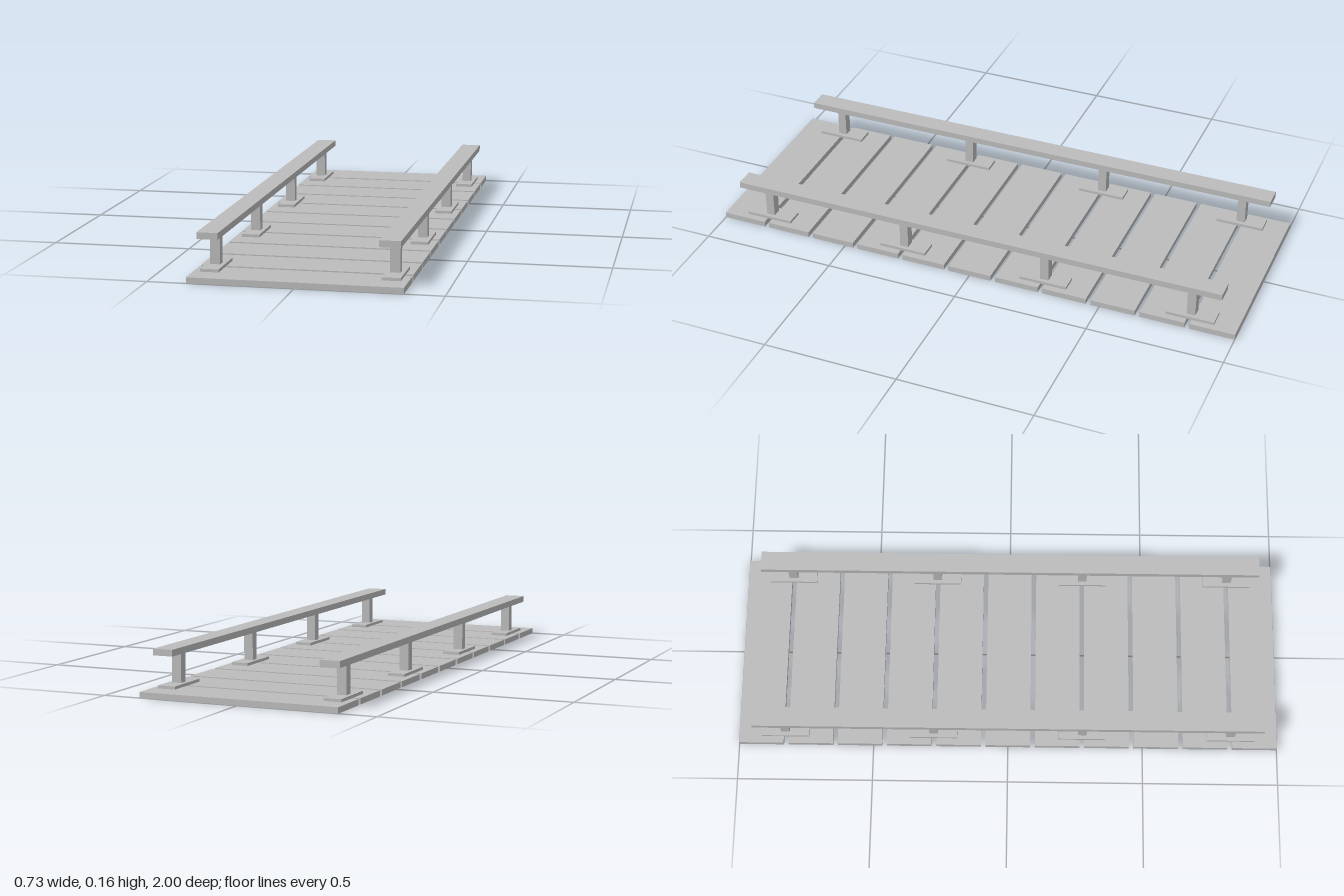
import * as THREE from 'three';

export function createModel() {
  const model = new THREE.Group();
  model.name = 'plankBridge';
  const wood = new THREE.MeshStandardMaterial({ color: 0xbcbcbc });
  wood.name = 'grey wood';

  // Box given by its x centre, y range, z centre, width and depth
  function addBox(parent, name, x, y0, y1, z, width, depth) {
    const mesh = new THREE.Mesh(new THREE.BoxGeometry(width, y1 - y0, depth), wood);
    mesh.position.set(x, (y0 + y1) / 2, z);
    mesh.name = name;
    parent.add(mesh);
  }

  // Deck of eleven separate planks
  const deck = new THREE.Group();
  deck.name = 'deck';
  const plankCount = 11, plankDepth = 0.166;
  const pitch = (2 - plankDepth) / (plankCount - 1);
  for (let i = 0; i < plankCount; i++) {
    addBox(deck, 'plank', 0, 0, 0.021, (i - (plankCount - 1) / 2) * pitch, 0.73, plankDepth);
  }
  model.add(deck);

  // Mirrored railings: base plates, posts and a top rail
  for (const side of [-1, 1]) {
    const railing = new THREE.Group();
    railing.name = side > 0 ? 'leftRailing' : 'rightRailing';
    const x = side * 0.308;
    for (const z of [-0.827, -0.276, 0.276, 0.827]) {
      addBox(railing, 'basePlate', x, 0.0215, 0.032, z, 0.064, 0.178);
      addBox(railing, 'post', x, 0.032, 0.138, z, 0.035, 0.032);
    }
    addBox(railing, 'topRail', x, 0.138, 0.161, 0, 0.073, 1.878);
    model.add(railing);
  }
  return model;
}
